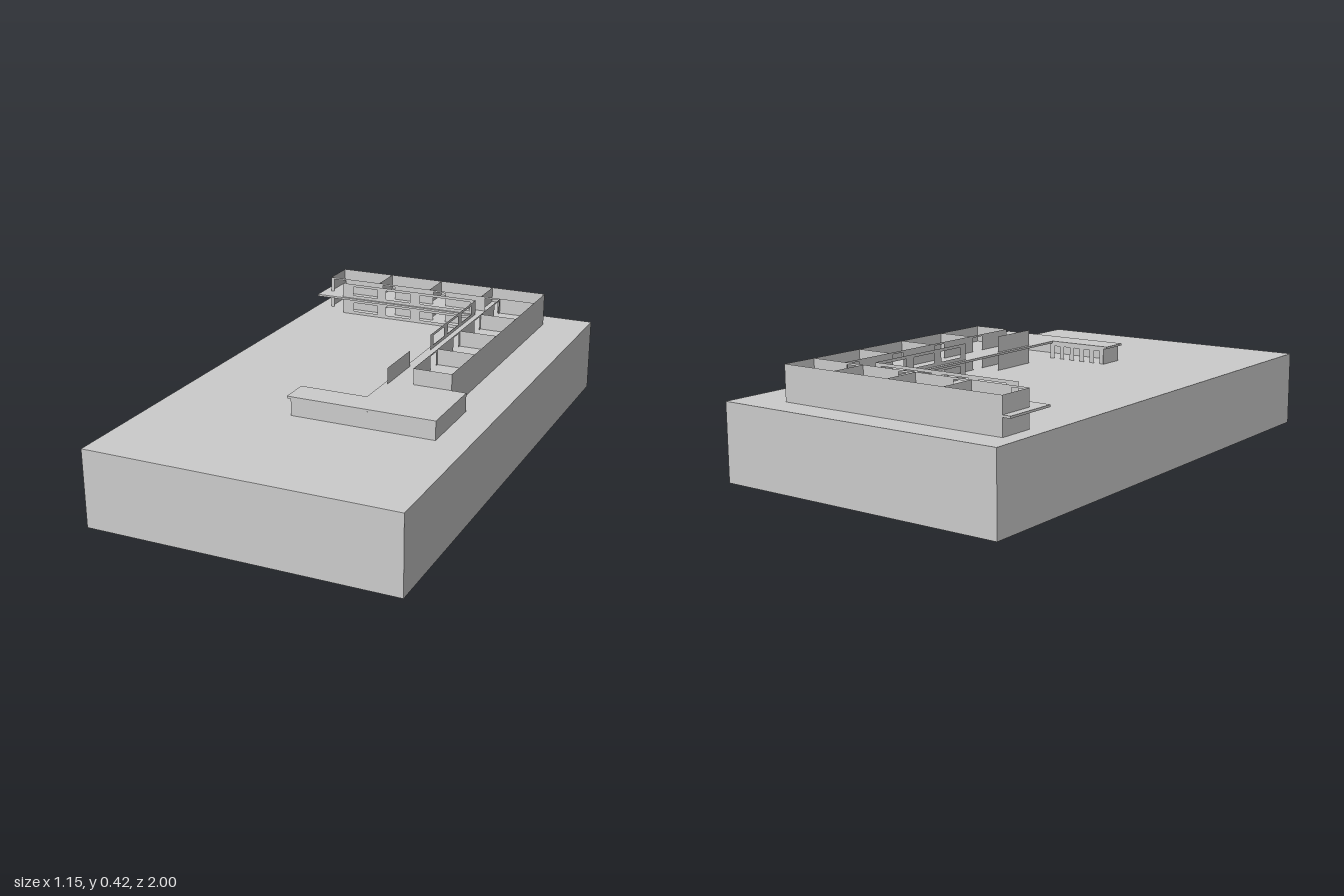
import * as THREE from 'three';

const material = new THREE.MeshStandardMaterial({ color: 0xcccccc, side: THREE.DoubleSide });
const BASE_TOP = 0.287, SLAB_BOTTOM = 0.349, SLAB_TOP = 0.357, ROOF = 0.418;
const ROOM = 0.23, WEST = -0.515, EAST = 0.4, BACK = -0.89, CORRIDOR = -0.75, INNER = 0.255;

function add(parent, name, geometry) {
  const mesh = new THREE.Mesh(geometry, material);
  mesh.name = name;
  parent.add(mesh);
  return mesh;
}

// Thin upright wall from a to b ([x, z]); openings are [start, end] along it
function wall(parent, name, a, b, y, h, { doors = [], windows = [], doorHeight = 0.054 } = {}) {
  const dx = b[0] - a[0], dz = b[1] - a[1], length = Math.hypot(dx, dz);
  const shape = new THREE.Shape();
  shape.moveTo(0, 0);
  for (const [s, e] of doors) {
    shape.lineTo(s, 0);
    shape.lineTo(s, doorHeight);
    shape.lineTo(e, doorHeight);
    shape.lineTo(e, 0);
  }
  shape.lineTo(length, 0);
  shape.lineTo(length, h);
  shape.lineTo(0, h);
  shape.closePath();
  for (const [s, e] of windows) {
    const hole = new THREE.Path();
    hole.moveTo(s, 0.0125);
    hole.lineTo(s, 0.05);
    hole.lineTo(e, 0.05);
    hole.lineTo(e, 0.0125);
    hole.closePath();
    shape.holes.push(hole);
  }
  const mesh = add(parent, name, new THREE.ShapeGeometry(shape));
  mesh.position.set(a[0], y, a[1]);
  mesh.rotation.y = -Math.atan2(dz, dx);
}

// One storey of the two wings
function storey(name, y, h) {
  const g = new THREE.Group();
  g.name = name;
  const roomDoors = [0, 1, 2, 3].map(i => [i * ROOM + 0.015, i * ROOM + 0.07]);

  // Outer walls
  wall(g, 'backWall', [WEST, BACK], [EAST, BACK], y, h);
  wall(g, 'outerSideWall', [EAST, BACK], [EAST, 0.17], y, h);
  wall(g, 'backWingEndWall', [WEST, BACK], [WEST, CORRIDOR], y, h);

  // Corridor walls with one door per room
  wall(g, 'backCorridorWall', [WEST, CORRIDOR], [EAST, CORRIDOR], y, h, { doors: roomDoors });
  wall(g, 'sideCorridorWall', [INNER, CORRIDOR], [INNER, 0.17], y, h, { doors: roomDoors });

  // Room partitions
  for (let i = 1; i < 4; i++) {
    const x = WEST + i * ROOM - 0.003;
    wall(g, 'backPartition', [x, BACK], [x, CORRIDOR], y, h);
  }
  for (let i = 1; i <= 4; i++) {
    const z = CORRIDOR + i * ROOM;
    wall(g, 'sidePartition', [INNER, z], [EAST, z], y, h);
  }

  // Courtyard facades with windows
  wall(g, 'backFacade', [-0.43, -0.69], [0.17, -0.69], y, h,
    { windows: [[0.05, 0.16], [0.2, 0.31], [0.355, 0.575]] });
  wall(g, 'sideFacade', [0.17, -0.69], [0.17, -0.2], y, h,
    { windows: [0, 1, 2].map(i => [0.05 + i * 0.15, 0.16 + i * 0.15]) });
  wall(g, 'sideFacadePanel', [0.17, 0], [0.17, 0.203], y, h);
  return g;
}

export function createModel() {
  const model = new THREE.Group();
  model.name = 'building';

  // Hollow plinth, open underneath (the bottom face is left out)
  const plinth = new THREE.BoxGeometry(1.15, BASE_TOP, 2);
  const index = Array.from(plinth.index.array);
  index.splice(18, 6);
  plinth.setIndex(index);
  plinth.clearGroups();
  add(model, 'plinth', plinth).position.y = BASE_TOP / 2;

  // Two storeys
  model.add(storey('groundFloor', BASE_TOP, SLAB_BOTTOM - BASE_TOP));
  model.add(storey('upperFloor', SLAB_TOP, ROOF - SLAB_TOP));

  // Floor slab, also roofing the front hall
  const outline = [
    [-0.545, -0.89], [0.4, -0.89], [0.4, 0.17], [0.455, 0.17], [0.455, 0.455],
    [-0.1, 0.455], [-0.1, 0.345], [0.155, 0.345], [0.155, -0.68], [-0.545, -0.68],
  ];
  const slab = new THREE.ExtrudeGeometry(
    new THREE.Shape(outline.map(([x, z]) => new THREE.Vector2(x, -z))),
    { depth: SLAB_TOP - SLAB_BOTTOM, bevelEnabled: false });
  slab.rotateX(-Math.PI / 2);
  add(model, 'floorSlab', slab).position.y = SLAB_BOTTOM;

  // Front hall, with a row of piers towards the courtyard
  const hall = new THREE.Group();
  hall.name = 'frontHall';
  const h = SLAB_BOTTOM - BASE_TOP;
  wall(hall, 'frontWall', [-0.085, 0.455], [0.455, 0.455], BASE_TOP, h);
  wall(hall, 'hallOuterWall', [0.455, 0.17], [0.455, 0.455], BASE_TOP, h);
  wall(hall, 'hallEndWall', [-0.085, 0.345], [-0.085, 0.455], BASE_TOP, h);
  wall(hall, 'hallReturnWall', [0.4, 0.17], [0.455, 0.17], BASE_TOP, h);
  wall(hall, 'pierWall', [-0.085, 0.35], [0.17, 0.35], BASE_TOP, h,
    { doors: [0, 1, 2, 3, 4].map(i => [0.02 + i * 0.047, 0.047 + i * 0.047]), doorHeight: 0.05 });
  model.add(hall);

  return model;
}
